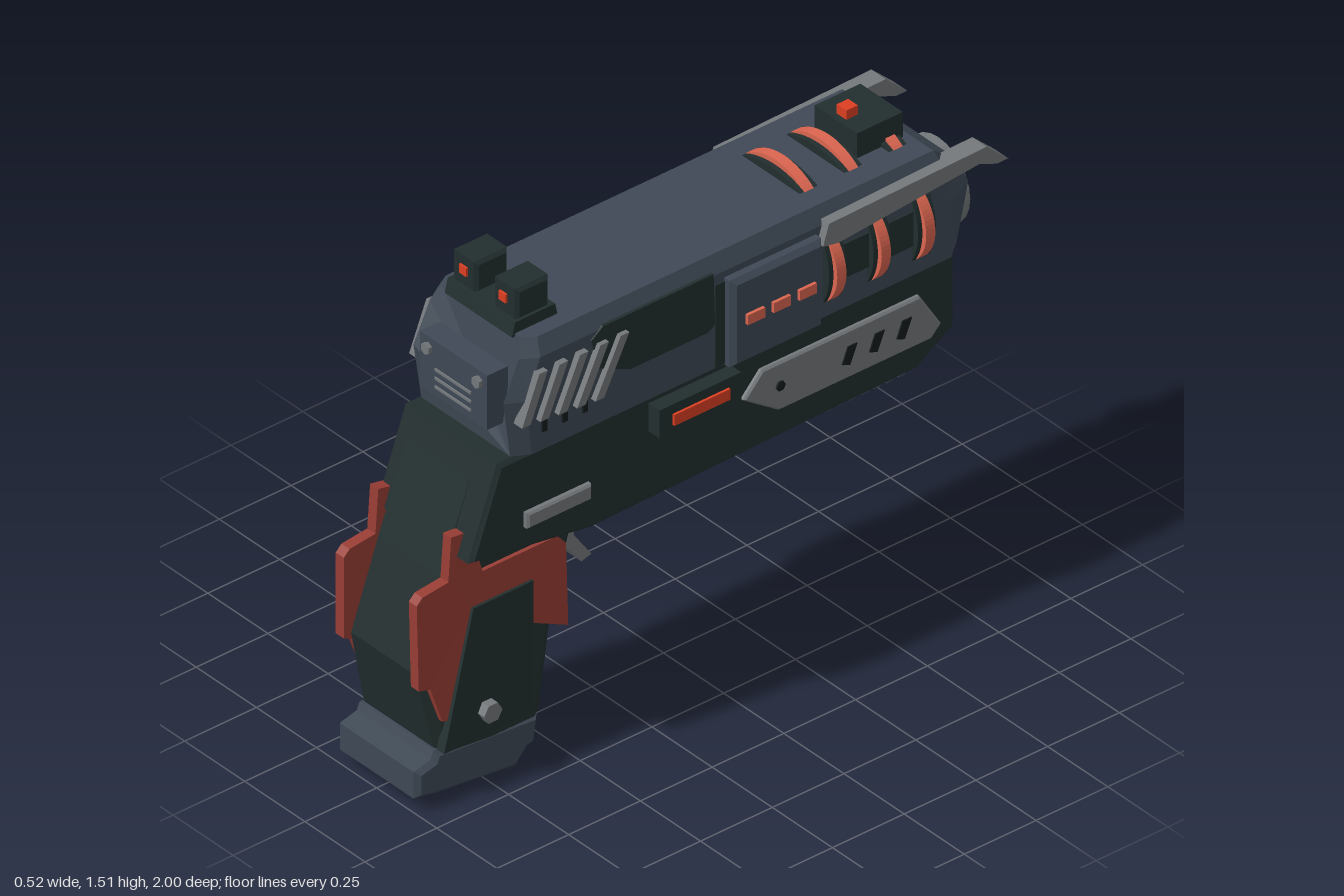
import * as THREE from 'three';

const mat = (name, color) => {
  const m = new THREE.MeshStandardMaterial({ color });
  m.name = name;
  return m;
};

export function createModel() {
  const root = new THREE.Group();
  root.name = 'toyBlaster';
  const dark = mat('darkGreenGrey', 0x222e2e);
  const blue = mat('slateBlue', 0x3f4955);
  const grey = mat('midGrey', 0x74787b);
  const rust = mat('rustRed', 0x983d35);
  const glow = mat('brightRed', 0xdc3f22);
  const coral = mat('coral', 0xdb6550);
  const black = mat('nearBlack', 0x151b1d);

  // Flat-faceted mesh
  const add = (name, geo, material) => {
    const g = geo.index ? geo.toNonIndexed() : geo;
    g.computeVertexNormals();
    const m = new THREE.Mesh(g, material);
    m.name = name;
    root.add(m);
    return m;
  };
  // Box from min/max corners
  const box = (name, material, x0, x1, y0, y1, z0, z1) => add(name,
    new THREE.BoxGeometry(x1 - x0, y1 - y0, z1 - z0)
      .translate((x0 + x1) / 2, (y0 + y1) / 2, (z0 + z1) / 2), material);
  // Side profile of [z, y] points, extruded from x0 to x1
  const plate = (pts, x0, x1, b = 0) => {
    const shape = new THREE.Shape(pts.map(([z, y]) => new THREE.Vector2(-z, y)));
    return new THREE.ExtrudeGeometry(shape, {
      depth: x1 - x0 - 2 * b, bevelEnabled: b > 0, bevelSize: b,
      bevelThickness: b, bevelOffset: -b, bevelSegments: 1, curveSegments: 8,
    }).rotateY(Math.PI / 2).translate(x0 + b, 0, 0);
  };
  // The same profile on one side: s = 1 or -1
  const sidePlate = (name, material, s, pts, a, c, b = 0) =>
    add(name, s > 0 ? plate(pts, a, c, b) : plate(pts, -c, -a, b), material);
  const sideBox = (name, material, s, a, c, y0, y1, z0, z1) =>
    s > 0 ? box(name, material, a, c, y0, y1, z0, z1) : box(name, material, -c, -a, y0, y1, z0, z1);
  // Skin through rings of equal point count, capped at both ends
  const loft = (rings) => {
    const n = rings[0].length, idx = [];
    for (let r = 0; r < rings.length - 1; r++) {
      for (let i = 0; i < n; i++) {
        const a = r * n + i, b = r * n + (i + 1) % n;
        idx.push(a, b, a + n, b, b + n, a + n);
      }
    }
    const last = (rings.length - 1) * n;
    for (let i = 1; i < n - 1; i++) {
      idx.push(0, i + 1, i, last, last + i, last + i + 1);
    }
    const p = rings.flat();
    let vol = 0;
    for (let i = 0; i < idx.length; i += 3) {
      const [a, b, c] = [0, 1, 2].map((k) => new THREE.Vector3(...p[idx[i + k]]));
      vol += a.dot(b.cross(c));
    }
    if (vol < 0) idx.reverse();
    const g = new THREE.BufferGeometry();
    g.setAttribute('position', new THREE.Float32BufferAttribute(p.flat(), 3));
    g.setIndex(idx);
    return g;
  };

  // Slide: eight-sided section with tapered ends
  const ring = (k, zs, ys = [1.03, 1.21, 1.33, 1.38]) => {
    const half = [0.215, 0.217, 0.215, 0.19].map((x, i) => [x * k, ys[i], zs[i]]);
    return [...half, ...half.map(([x, y, z]) => [-x, y, z]).reverse()];
  };
  add('slide', loft([
    ring(0.86, [0.69, 0.715, 0.66, 0.635]),
    ring(1, [0.64, 0.66, 0.61, 0.6]),
    ring(1, [-0.82, -0.82, -0.8, -0.78]),
    ring(0.78, [-0.88, -0.92, -0.88, -0.85], [1.03, 1.21, 1.3, 1.33]),
  ]), blue);

  // Rear plate with screws and lines
  box('rearPlate', blue, -0.14, 0.14, 1.11, 1.285, 0.66, 0.732);
  for (const s of [1, -1]) {
    add('rearScrew', new THREE.CylinderGeometry(0.018, 0.018, 0.02, 6)
      .rotateX(Math.PI / 2).translate(s * 0.105, 1.25, 0.735), grey);
  }
  for (const y of [1.14, 1.168, 1.196]) box('rearLine', grey, -0.075, 0.075, y - 0.004, y + 0.004, 0.73, 0.736);

  // Muzzle: dark collar, grey ring, recessed bore and crossbar
  const tube = (r, z0, z1, n = 12) => new THREE.CylinderGeometry(r, r, z1 - z0, n)
    .rotateX(Math.PI / 2).translate(0, 1.115, (z0 + z1) / 2);
  add('muzzleCollar', tube(0.135, -0.925, -0.84), dark);
  const outer = new THREE.Shape().absarc(0, 0, 0.132, 0, Math.PI * 2);
  outer.holes.push(new THREE.Path().absarc(0, 0, 0.088, 0, Math.PI * 2));
  add('muzzleRing', new THREE.ExtrudeGeometry(outer, { depth: 0.033, bevelEnabled: false, curveSegments: 12 })
    .translate(0, 1.115, -0.958), grey);
  add('muzzleBore', tube(0.09, -0.932, -0.92), dark);
  box('muzzleBar', grey, -0.085, 0.085, 1.095, 1.135, -0.945, -0.925);

  // Frame
  add('frame', plate([[0.74, 1.03], [-0.85, 1.03], [-0.85, 0.79], [-0.72, 0.705],
    [0.41, 0.685], [0.84, 0.75]], -0.2, 0.2, 0.012), dark);

  // Under rail with teeth
  box('underRail', blue, -0.125, 0.125, 0.665, 0.688, -0.75, -0.195);
  for (let i = 0; i < 13; i++) {
    const z = -0.215 - i * 0.0425;
    box('railTooth', blue, -0.125, 0.125, 0.642, 0.666, z - 0.011, z + 0.011);
  }

  // Trigger
  add('trigger', plate([[0.42, 0.7], [0.38, 0.7], [0.345, 0.55], [0.285, 0.465],
    [0.32, 0.455], [0.38, 0.53], [0.41, 0.63]], -0.04, 0.04), grey);

  // Grip: flares outward on its left side toward the bottom
  const flare = (y) => Math.max(0, 0.45 - y) * 0.12;
  const flared = (g) => {
    const p = g.attributes.position;
    for (let i = 0; i < p.count; i++) p.setX(i, p.getX(i) + flare(p.getY(i)));
    return g;
  };
  add('grip', loft([[0.14, 0.56, 0.915], [0.41, 0.49, 0.965], [0.68, 0.41, 0.87], [0.95, 0.41, 0.77]]
    .map(([y, zf, zb]) => {
      const r = 0.13 + flare(y), l = -0.168;
      return [[r - 0.02, y, zf], [r, y, zf + 0.03], [r, y, zb - 0.03], [r - 0.02, y, zb],
        [l + 0.02, y, zb], [l, y, zb - 0.03], [l, y, zf + 0.03], [l + 0.02, y, zf]];
    })), dark);
  add('leftGripTrim', flared(plate([[0.86, 0.82], [0.81, 0.815], [0.77, 0.73], [0.75, 0.665],
    [0.49, 0.665], [0.46, 0.63], [0.46, 0.37], [0.59, 0.43], [0.58, 0.56], [0.79, 0.56], [0.87, 0.25],
    [0.91, 0.26], [0.94, 0.37], [0.98, 0.38], [0.98, 0.65], [0.96, 0.67], [0.87, 0.68]], 0.11, 0.143)), rust);
  add('leftGripPanel', flared(plate([[0.79, 0.565], [0.58, 0.565], [0.61, 0.17], [0.92, 0.17]],
    0.12, 0.152)), dark);
  add('rightGripTrim', plate([[0.86, 0.82], [0.81, 0.81], [0.8, 0.6], [0.85, 0.25], [0.9, 0.26],
    [0.94, 0.37], [0.98, 0.39], [0.98, 0.65], [0.96, 0.67], [0.87, 0.68]], -0.194, -0.16), rust);
  add('rightGripPanel', plate([[0.79, 0.65], [0.53, 0.65], [0.62, 0.2], [0.84, 0.2]], -0.185, -0.16), dark);
  for (let r = 0; r < 9; r++) {
    for (let c = 0; c < 5; c++) {
      const y = 0.29 + r * 0.041, z = 0.64 + c * 0.04 - r * 0.006;
      box('gripStud', black, -0.2, -0.18, y - 0.012, y + 0.012, z - 0.012, z + 0.012);
    }
  }
  for (const [x, z] of [[0.185, 0.765], [-0.2, 0.765]]) {
    add('gripScrew', new THREE.CylinderGeometry(0.032, 0.032, 0.04, 6)
      .rotateZ(Math.PI / 2).translate(x, 0.245, z), grey);
  }

  // Base pad
  add('basePad', plate([[0.93, 0.17], [0.57, 0.14], [0.582, 0.05], [0.61, 0.045], [0.65, 0], [0.92, 0.03],
    [1, 0.045], [1, 0.13], [0.94, 0.145]], -0.168, 0.168, 0.015), blue);

  // Curved rib: circular segment with a dark bed and a coral band
  const segment = (chord, rise, thick) => {
    const R = (chord * chord / 4 + rise * rise) / (2 * rise), a = Math.asin(chord / 2 / R);
    const s = new THREE.Shape();
    s.absarc(0, rise - R, R, Math.PI / 2 - a, Math.PI / 2 + a, false);
    return new THREE.ExtrudeGeometry(s, { depth: thick, bevelEnabled: false, curveSegments: 8 })
      .translate(0, 0, -thick / 2);
  };
  const rib = (place, chord) => {
    add('ribBed', place(segment(chord, 0.028, 0.062)), dark);
    add('ribBand', place(segment(chord, 0.044, 0.032)), coral);
  };
  const ribZ = [-0.405, -0.56, -0.715];
  for (const z of ribZ) rib((g) => g.translate(0, 1.378, z), 0.25);

  // Details on both sides
  for (const s of [1, -1]) {
    for (const z of ribZ) {
      rib((g) => g.rotateZ(-s * Math.PI / 2).translate(s * 0.214, 1.175, z), 0.2);
    }
    for (const z of [-0.482, -0.638]) sideBox('sideRecess', dark, s, 0.21, 0.222, 1.13, 1.24, z - 0.05, z + 0.05);

    // Middle block and its lights
    sidePlate('middleBlock', blue, s, [[-0.03, 1.03], [-0.35, 1.03], [-0.35, 1.31], [-0.03, 1.31]], 0.18, 0.252, 0.015);
    sideBox('blockGap', dark, s, 0.2, 0.22, 1.035, 1.3, -0.03, 0.004);
    for (const z of [-0.105, -0.195, -0.285]) sideBox('sideLight', coral, s, 0.24, 0.262, 1.16, 1.192, z - 0.03, z + 0.03);

    // Side port
    sidePlate('sidePort', dark, s, [[0.435, 1.31], [0.395, 1.34], [0.01, 1.34], [0.005, 1.175],
      [0.03, 1.16], [0.3, 1.16], [0.41, 1.21]], 0.2, 0.22);

    // Slanted rear grips with slots beneath
    for (let i = 0; i < 5; i++) {
      const z = 0.615 - i * 0.071, low = 1.145 - i * 0.006, dz = 0.06 + i * 0.007;
      sidePlate('rearGripBar', grey, s, [[z + 0.015, 1.295], [z - 0.015, 1.295],
        [z + dz - 0.015, low], [z + dz + 0.015, low]], 0.2, 0.235);
      if (i < 3) sideBox('rearSlot', black, s, 0.21, 0.221, 1.09, 1.13, z - 0.025, z - 0.008);
    }

    // Upper wing
    sidePlate('upperWing', grey, s, [[-0.355, 1.28], [-0.375, 1.345], [-0.925, 1.355], [-1, 1.285],
      [-0.96, 1.285], [-0.9, 1.31], [-0.41, 1.27]], 0.18, 0.24);

    // Frame plate with slots and screw
    sidePlate('framePlate', grey, s, [[-0.1, 0.88], [-0.165, 0.95], [-0.715, 0.95], [-0.79, 0.83],
      [-0.755, 0.795], [-0.225, 0.795]], 0.19, 0.215, 0.006);
    for (const z of [-0.465, -0.56, -0.655]) {
      sidePlate('plateSlot', black, s, [[z + 0.025, 0.85], [z + 0.005, 0.9], [z - 0.028, 0.9],
        [z - 0.002, 0.84]], 0.21, 0.219);
    }
    add('plateScrew', new THREE.CylinderGeometry(0.016, 0.016, 0.012, 6)
      .rotateZ(Math.PI / 2).translate(s * 0.215, 0.877, -0.225), black);
    sidePlate('frameTab', grey, s, [[0.655, 0.795], [0.43, 0.795], [0.43, 0.845], [0.655, 0.845]], 0.19, 0.218, 0.006);

    // Switch
    sideBox('switchHousing', dark, s, 0.19, 0.246, 0.915, 1.005, -0.065, 0.22);
    sideBox('switchLight', glow, s, 0.24, 0.254, 0.94, 0.975, -0.02, 0.175);

    // Rear sight posts
    sidePlate('rearSightPost', dark, s, [[0.625, 1.41], [0.51, 1.41], [0.51, 1.51], [0.625, 1.51]], 0.034, 0.135, 0.01);
    sideBox('rearSightDot', glow, s, 0.067, 0.097, 1.452, 1.48, 0.62, 0.632);
  }

  // Sight bases and front sight
  add('rearSightBase', plate([[0.645, 1.37], [0.485, 1.37], [0.495, 1.415], [0.635, 1.415]], -0.14, 0.14), dark);
  box('frontSight', dark, -0.088, 0.088, 1.37, 1.46, -0.76, -0.6);
  box('frontSightDot', glow, -0.02, 0.02, 1.45, 1.49, -0.66, -0.62);
  return root;
}
